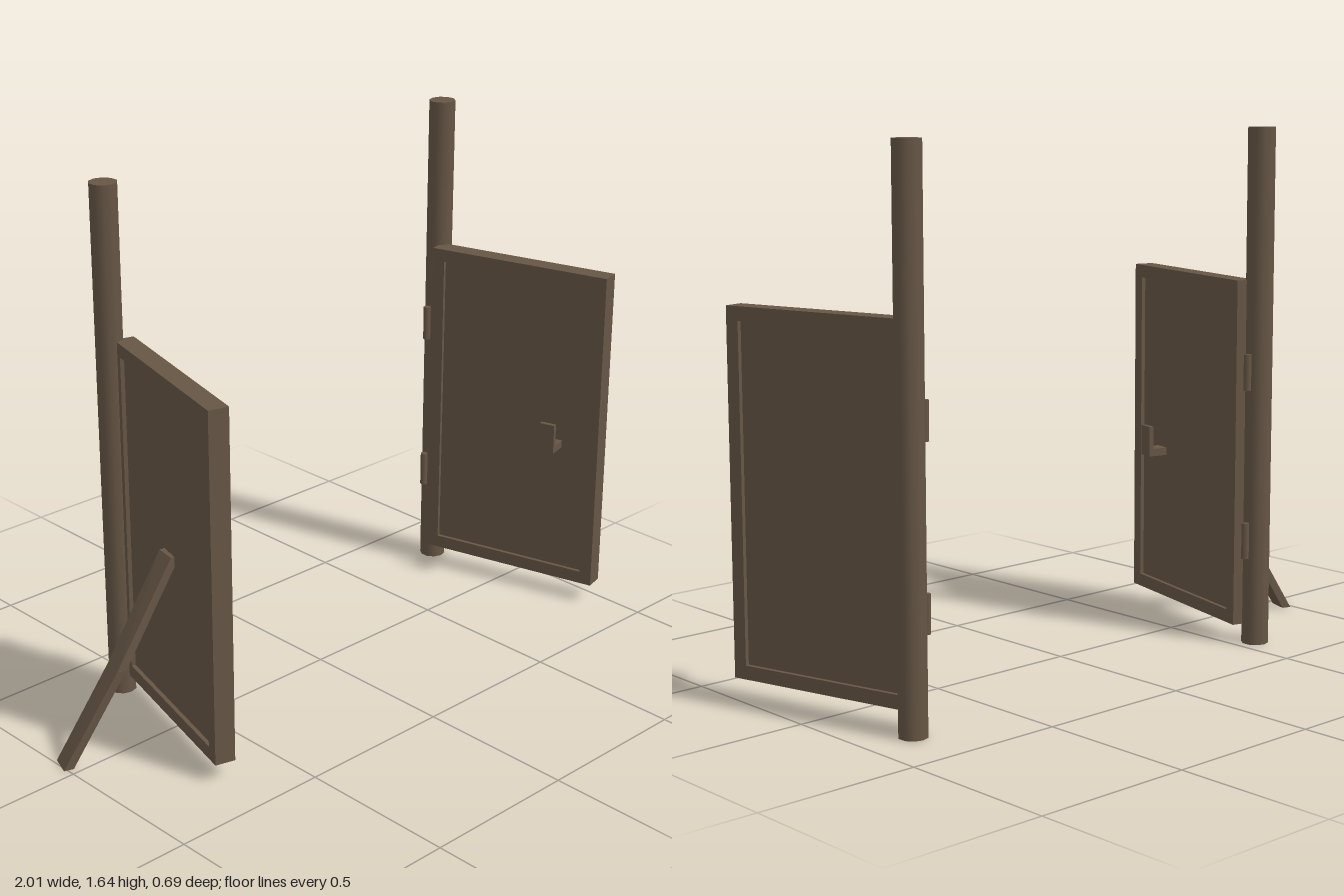
import * as THREE from 'three';

const brown = new THREE.MeshStandardMaterial({ color: 0x665645 });
brown.name = 'weathered brown';

function part(name, geometry, x = 0, y = 0, z = 0) {
  const mesh = new THREE.Mesh(geometry, brown);
  mesh.name = name;
  mesh.position.set(x, y, z);
  return mesh;
}

function rectangle(target, w, h) {
  target.moveTo(-w / 2, -h / 2);
  target.lineTo(w / 2, -h / 2);
  target.lineTo(w / 2, h / 2);
  target.lineTo(-w / 2, h / 2);
  target.closePath();
  return target;
}

// One gate leaf, length along z; inner is the x direction of its handle side
function gateLeaf(name, inner, x, bottom, top) {
  const leaf = new THREE.Group();
  leaf.name = name;
  const length = 0.63, thick = 0.064, rim = 0.042;
  const height = top - bottom, middle = (top + bottom) / 2;

  // Rim around a recessed panel
  const outline = rectangle(new THREE.Shape(), length, height);
  outline.holes.push(rectangle(new THREE.Path(), length - 2 * rim, height - 2 * rim));
  const frame = new THREE.ExtrudeGeometry(outline, { depth: thick, bevelEnabled: false });
  frame.translate(0, 0, -thick / 2).rotateY(Math.PI / 2);
  leaf.add(part('frame', frame, 0, middle, 0));
  leaf.add(part('panel',
    new THREE.BoxGeometry(0.038, height - 2 * rim, length - 2 * rim), 0, middle, 0));

  // L-shaped handle on the inner face
  leaf.add(part('handleBase', new THREE.BoxGeometry(0.067, 0.025, 0.053), inner * 0.0515, 0.5525, 0.153));
  leaf.add(part('handleGrip', new THREE.BoxGeometry(0.015, 0.075, 0.053), inner * 0.0775, 0.6025, 0.153));

  leaf.position.set(x, 0, 0.03);
  leaf.rotation.y = -inner * 0.26;
  return leaf;
}

// Plank swept through horizontal cross-sections, slightly bent
function propGeometry() {
  const centres = [[-0.985, 0, -0.058], [-0.825, 0.29, 0.002], [-0.64, 0.61, 0.033]];
  const across = [[-0.33, 0.944], [-0.26, 0.966], [-0.18, 0.984]];
  const halfWidth = 0.034, halfThick = 0.015;
  const rings = centres.map(([x, y, z], i) => {
    const [ax, az] = across[i];
    return [[1, 1], [1, -1], [-1, -1], [-1, 1]].map(([w, t]) => [
      x + w * ax * halfWidth + t * az * halfThick, y,
      z + w * az * halfWidth - t * ax * halfThick]);
  });
  const positions = [];
  const quad = (a, b, c, d) => [a, b, c, a, c, d].forEach((p) => positions.push(...p));
  for (let i = 0; i < 2; i++) {
    for (let k = 0; k < 4; k++) {
      const n = (k + 1) % 4;
      quad(rings[i][k], rings[i + 1][k], rings[i + 1][n], rings[i][n]);
    }
  }
  quad(...rings[0]);
  quad(...[...rings[2]].reverse());
  const geometry = new THREE.BufferGeometry();
  geometry.setAttribute('position', new THREE.Float32BufferAttribute(positions, 3));
  // Make the winding face outward
  const p = (v) => new THREE.Vector3(...v);
  const side = p(rings[1][0]).sub(p(rings[0][0])).cross(p(rings[1][1]).sub(p(rings[0][0])));
  const outward = p(rings[0][0]).add(p(rings[0][1])).multiplyScalar(0.5).sub(p(centres[0]));
  if (side.dot(outward) < 0) {
    const a = geometry.attributes.position.array;
    for (let i = 0; i < a.length; i += 9) {
      for (let j = 3; j < 6; j++) [a[i + j], a[i + j + 3]] = [a[i + j + 3], a[i + j]];
    }
  }
  geometry.computeVertexNormals();
  return geometry;
}

export function createModel() {
  const model = new THREE.Group();
  model.name = 'openGates';

  const sides = [
    { label: 'right', inner: 1, postX: -0.572, leafX: -0.62, bottom: 0.06, top: 1.167 },
    { label: 'left', inner: -1, postX: 0.84, leafX: 0.885, bottom: 0.065, top: 1.158 },
  ];
  for (const s of sides) {
    // Tall round post
    model.add(part(s.label + 'Post', new THREE.CylinderGeometry(0.043, 0.043, 1.643, 10), s.postX, 0.8215, -0.302));
    // Hinge pins beside the post
    for (const y of [0.34, 0.88]) {
      model.add(part(s.label + 'Hinge', new THREE.CylinderGeometry(0.012, 0.012, 0.115, 8),
        s.postX + s.inner * 0.052, y, -0.302));
    }
    model.add(gateLeaf(s.label + 'Gate', s.inner, s.leafX, s.bottom, s.top));
  }

  // Plank bracing one leaf from outside
  model.add(part('propPlank', propGeometry()));
  return model;
}
